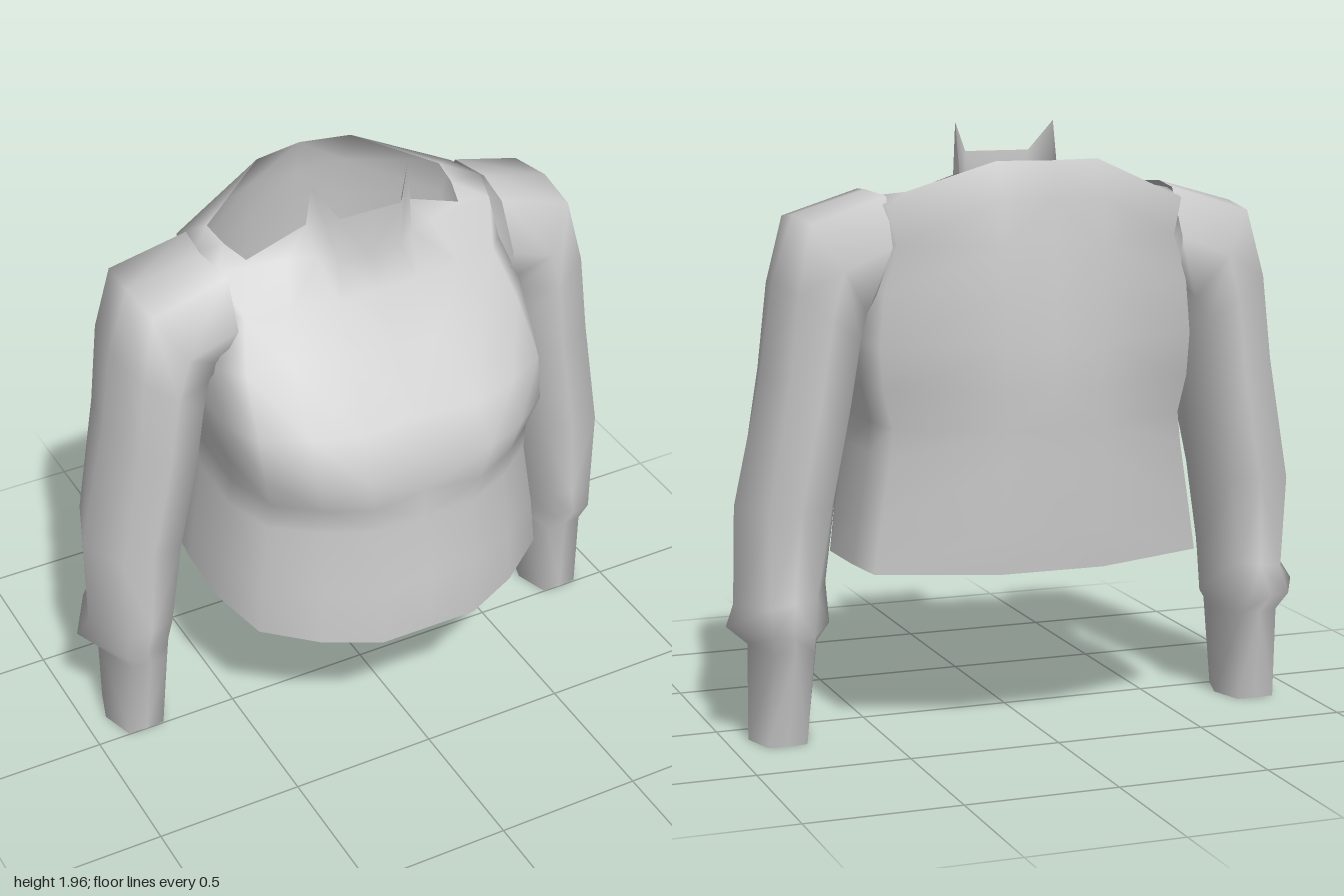
import * as THREE from 'three';

// Joins closed rings of [x, y, z] points, listed bottom to top, into an open smooth shell.
// The diagonals of the second half are turned so that a mirrored ring gives a mirrored surface.
function loft(rings) {
  const n = rings[0].length;
  const index = [];
  for (let r = 0; r < rings.length - 1; r++) {
    for (let j = 0; j < n; j++) {
      const k = (j + 1) % n;
      const a = r * n + j, b = r * n + k, c = a + n, d = b + n;
      if (j < n / 2) index.push(a, b, d, a, d, c);
      else index.push(a, b, c, b, d, c);
    }
  }
  const geometry = new THREE.BufferGeometry();
  geometry.setAttribute('position', new THREE.Float32BufferAttribute(rings.flat(2), 3));
  geometry.setIndex(index);
  geometry.computeVertexNormals();
  return geometry;
}

// Half ring from front centre to back centre, mirrored into a full ring
function mirrorRing(half) {
  const other = half.slice(1, -1).reverse().map(([x, y, z]) => [-x, y, z]);
  return [...half, ...other];
}

// Body sections: y, front centre z, fullest front x and z, side x and z, back z, drop at the front
const BODY = [
  [.555, .485, .17, .485, .585, .08, -.45, .07],
  [.69, .485, .17, .48, .565, .08, -.46, 0],
  [.92, .45, .17, .45, .53, .08, -.47, 0],
  [1.02, .445, .19, .465, .52, .1, -.477, 0],
  [1.14, .445, .22, .48, .55, .15, -.483, 0],
  [1.28, .395, .2, .42, .56, .15, -.48, 0],
  [1.45, .235, .16, .235, .545, .1, -.47, 0],
  [1.6, .13, .14, .13, .5, .02, -.455, 0],
];

// The front bulges between its fullest point and the side; the back is a shallow arc
function bodyRing([y, centreZ, fullX, fullZ, sideX, sideZ, backZ, drop]) {
  const between = (u, v) => [fullX + (sideX - fullX) * u, sideZ + (fullZ - sideZ) * v];
  const pairs = [[0, centreZ], [fullX, fullZ], between(.45, .8), between(.85, .5), [sideX, sideZ],
    [sideX - .01, -.14], [sideX - .03, -.31], [.17, backZ], [0, backZ]];
  return mirrorRing(pairs.map(([x, z]) =>
    [x, y - drop * THREE.MathUtils.clamp((z - .08) / .4, 0, 1), z]));
}

// Shoulder line, then the neckline with its two collar points
const SHOULDER = [[0, 1.7, .07], [.11, 1.7, .07], [.17, 1.72, .03], [.26, 1.72, 0], [.49, 1.72, -.03],
  [.52, 1.74, -.14], [.5, 1.72, -.3], [.17, 1.74, -.44], [0, 1.74, -.44]];
const NECKLINE = [[0, 1.86, .07], [.11, 1.86, .07], [.17, 1.96, 0], [.17, 1.8, -.04], [.38, 1.73, -.04],
  [.41, 1.745, -.14], [.42, 1.76, -.24], [.17, 1.86, -.385], [0, 1.86, -.42]];

// Sleeve sections: inner x and y, outer x and y, front z, back z, squareness
const SLEEVE = [
  [.725, 0, .925, 0, 0, -.24, .65],
  [.695, .31, .925, .32, .035, -.29, .55],
  [.655, .37, .998, .385, .06, -.34, .4],
  [.658, .5, .965, .45, .07, -.29, .5],
  [.625, .78, .96, .77, .072, -.315, .6],
  [.585, 1.08, .865, 1.2, .095, -.33, .7],
  [.56, 1.28, .825, 1.48, .105, -.345, .75],
  [.55, 1.37, .755, 1.69, .115, -.35, .88],
  [.545, 1.43, .51, 1.76, .13, -.33, .94],
];

// Eight-sided tilted ring; side is 1 for left, -1 for right
function sleeveRing([innerX, innerY, outerX, outerY, front, back, square], side, armhole) {
  return Array.from({ length: 8 }, (_, j) => {
    const angle = j * Math.PI / 4;
    const corner = j % 2 === 1;
    const out = corner ? Math.sign(Math.sin(angle)) * square : Math.sin(angle);
    const ahead = corner ? Math.sign(Math.cos(angle)) * Math.min(.95, 1.6 - square) : Math.cos(angle);
    const t = (1 + side * out) / 2;
    const bend = armhole ? .035 * Math.abs(ahead) : 0;
    return [
      side * (innerX + (outerX - innerX) * t - bend),
      innerY + (outerY - innerY) * t,
      (front + back) / 2 + (front - back) / 2 * ahead,
    ];
  });
}

export function createModel() {
  const group = new THREE.Group();
  group.name = 'top';
  const fabric = new THREE.MeshStandardMaterial({ color: 0xcccccc, side: THREE.DoubleSide });
  fabric.name = 'light grey fabric';

  const add = (name, geometry) => {
    const mesh = new THREE.Mesh(geometry, fabric);
    mesh.name = name;
    group.add(mesh);
  };

  add('body', loft([...BODY.map(bodyRing), mirrorRing(SHOULDER), mirrorRing(NECKLINE)]));
  for (const [name, side] of [['leftSleeve', 1], ['rightSleeve', -1]]) {
    add(name, loft(SLEEVE.map((section, i) => sleeveRing(section, side, i === SLEEVE.length - 1))));
  }
  return group;
}
